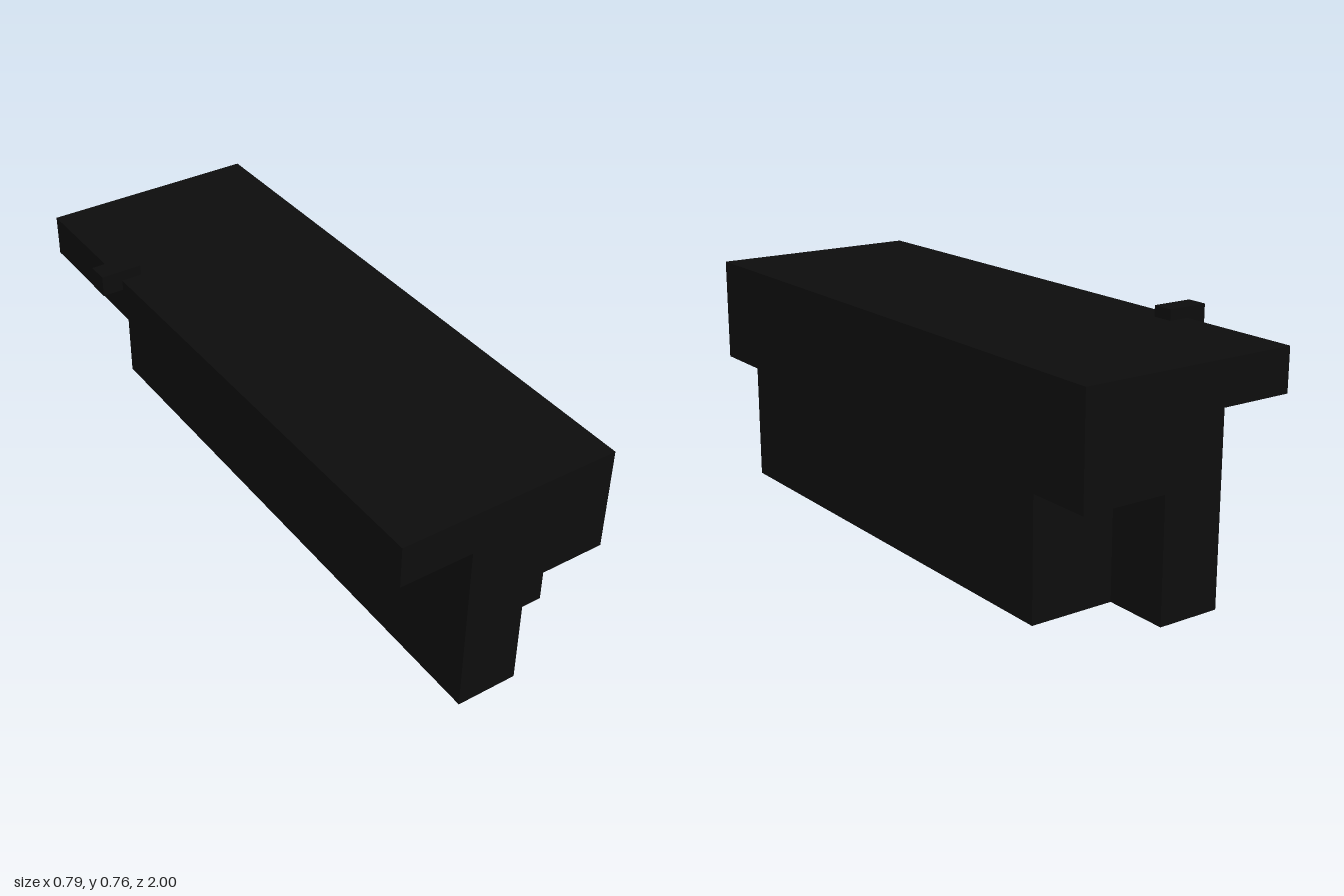
import * as THREE from 'three';

export function createModel() {
  const model = new THREE.Group();
  const black = new THREE.MeshStandardMaterial({ color: 0x0d0d0d });
  black.name = 'black';

  const add = (name, geometry, x = 0, y = 0, z = 0) => {
    const mesh = new THREE.Mesh(geometry, black);
    mesh.name = name;
    mesh.position.set(x, y, z);
    model.add(mesh);
  };

  // Full-length section: overhanging ledge on one side, raised shelf on the other
  const profile = new THREE.Shape([
    [-0.327, 0.725], [-0.327, 0.588], [-0.087, 0.588], [-0.087, 0],
    [0.117, 0], [0.117, 0.382], [0.396, 0.382], [0.396, 0.725],
  ].map(([x, y]) => new THREE.Vector2(x, y)));
  const body = new THREE.ExtrudeGeometry(profile, { depth: 2, bevelEnabled: false });
  add('body', body, 0, 0, -1);

  // Lower block, stopping short of both ends to leave the corner notches
  add('lowerBlock', new THREE.BoxGeometry(0.279, 0.382, 1.58), 0.2565, 0.191, 0);

  // Small peg set into the ledge edge
  add('peg', new THREE.BoxGeometry(0.137, 0.069, 0.069), -0.3275, 0.7255, -0.553);

  return model;
}
